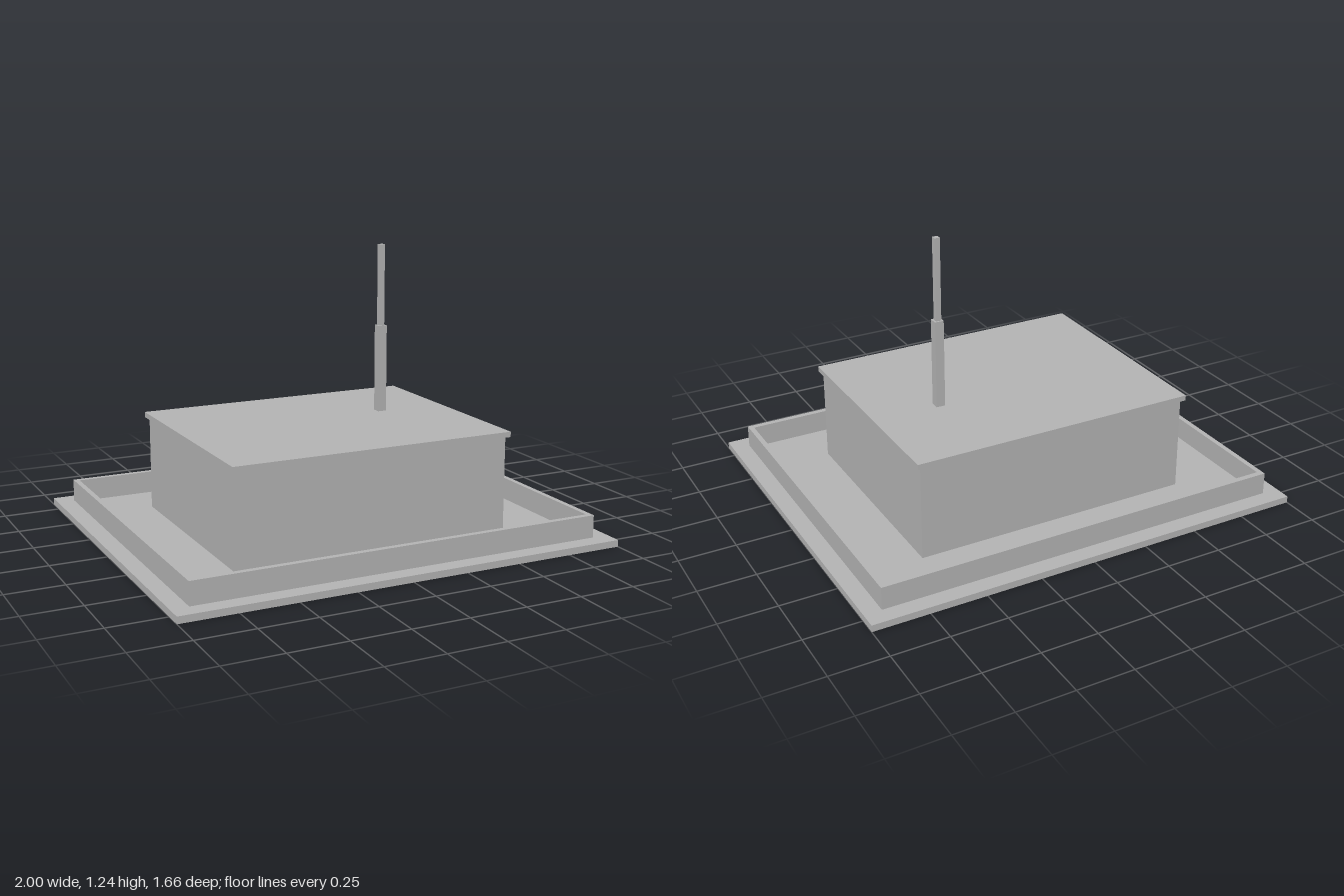
import * as THREE from 'three';

export function createModel() {
  const model = new THREE.Group();
  model.name = 'flatRoofBuilding';

  const grey = new THREE.MeshStandardMaterial({ color: 0xb4b4b4 });
  grey.name = 'plain grey';

  // Box given by its width, depth, bottom and top heights
  function block(name, width, depth, bottom, top, x = 0, z = 0) {
    const mesh = new THREE.Mesh(new THREE.BoxGeometry(width, top - bottom, depth), grey);
    mesh.position.set(x, (bottom + top) / 2, z);
    mesh.name = name;
    model.add(mesh);
  }

  // Rectangle outline centred on the origin
  function rectangle(PathType, hx, hz) {
    return new PathType([[-hx, -hz], [hx, -hz], [hx, hz], [-hx, hz]]
      .map(([x, y]) => new THREE.Vector2(x, y)));
  }

  // Ground slab
  block('groundSlab', 2, 1.664, 0, 0.03);

  // Low wall around the yard
  const wallShape = rectangle(THREE.Shape, 0.923, 0.757);
  wallShape.holes.push(rectangle(THREE.Path, 0.9, 0.732));
  const wallGeometry = new THREE.ExtrudeGeometry(wallShape, { depth: 0.1, bevelEnabled: false });
  wallGeometry.rotateX(-Math.PI / 2);
  const wall = new THREE.Mesh(wallGeometry, grey);
  wall.position.y = 0.03;
  wall.name = 'perimeterWall';
  model.add(wall);

  // Main building and overhanging roof
  block('building', 1.256, 1.012, 0.03, 0.452);
  block('roof', 1.29, 1.042, 0.452, 0.476);

  // Two-stage rooftop mast
  block('mastBase', 0.04, 0.04, 0.476, 0.87, 0.335, -0.085);
  block('mastTop', 0.024, 0.024, 0.87, 1.236, 0.334, -0.085);

  return model;
}
